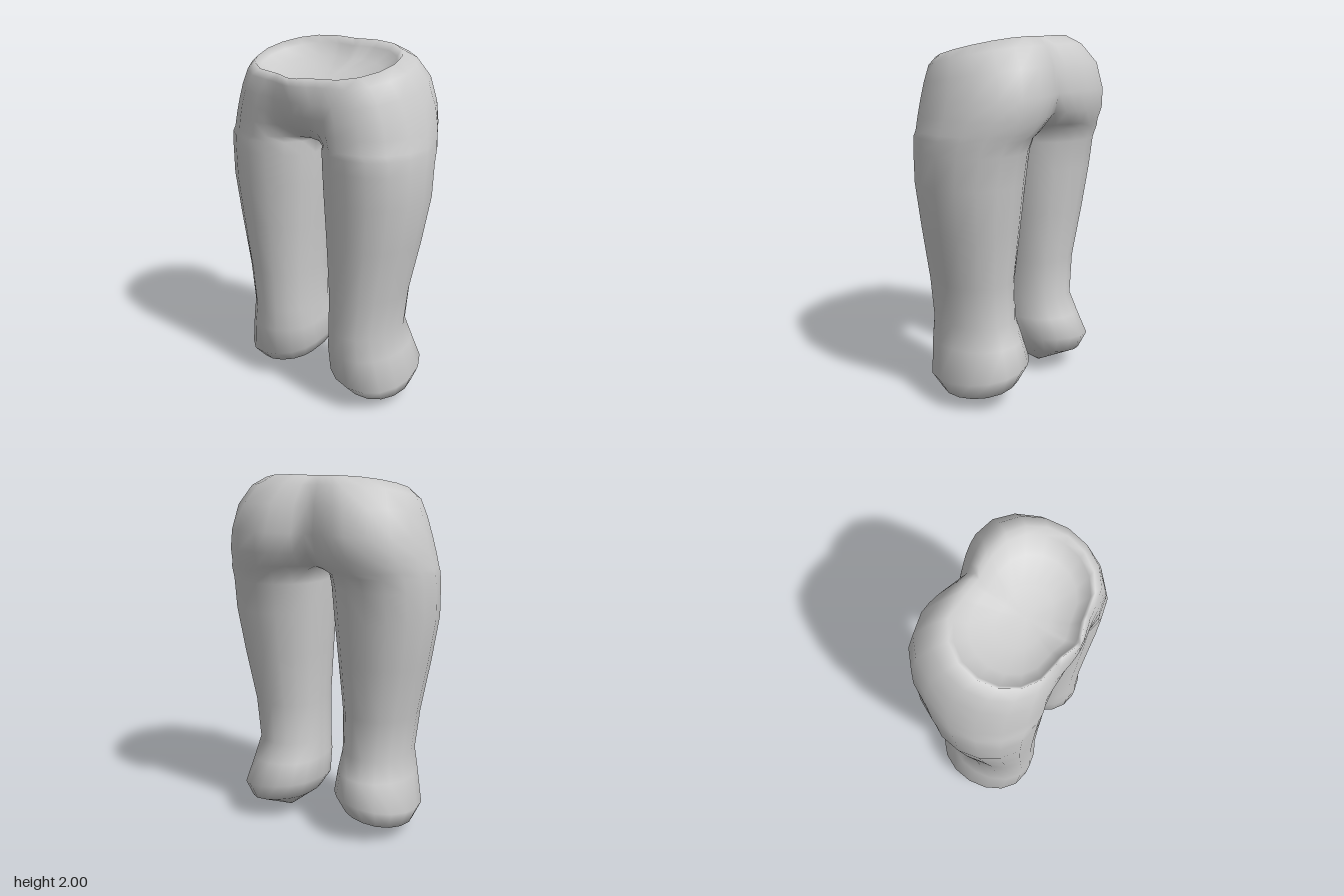
import * as THREE from 'three';
import { mergeVertices } from 'three/addons/utils/BufferGeometryUtils.js';

const OUTER = 8, INNER = 4, STRAIGHT = 3;

// Hips, top down: [y, tilt, outer x, apex x, front z, back z, belly z, cleft z]
const HIPS = [
  [1.95, 0.24, 0.415, 0.14, 0.325, -0.2, 0.36, -0.19],
  [1.9, 0.2, 0.475, 0.19, 0.337, -0.27, 0.372, -0.24],
  [1.8, 0.15, 0.522, 0.24, 0.342, -0.345, 0.37, -0.285],
  [1.69, 0.05, 0.557, 0.26, 0.345, -0.374, 0.35, -0.31],
  [1.6, 0, 0.58, 0.27, 0.347, -0.362, 0.295, -0.28],
  [1.525, 0, 0.594, 0.28, 0.347, -0.328, 0.2, -0.19],
];

// Left leg, top down: [y, tilt, roll, outer x, inner x, front z, back z]
const LEG = [
  [1.495, 0, 0, 0.599, 0.045, 0.346, -0.31],
  [1.42, 0, 0, 0.602, 0.048, 0.343, -0.28],
  [1.25, 0, 0, 0.602, 0.055, 0.335, -0.256],
  [1.0, 0, 0, 0.56, 0.073, 0.32, -0.225],
  [0.7, 0, 0, 0.5, 0.093, 0.304, -0.186],
  [0.47, 0, 0, 0.472, 0.093, 0.302, -0.187],
  [0.35, 0.03, 0.02, 0.5, 0.08, 0.305, -0.235],
  [0.195, 0.12, 0.13, 0.54, 0.078, 0.292, -0.29],
  [0.1, 0.1, 0.15, 0.5, 0.13, 0.215, -0.235],
  [0, 0, 0, 0.29, 0.29, 0.01, 0.01],
];

// Outer side of a ring: half an oval from the front apex round to the back apex
function outerArc(cx, outer, front, back) {
  return Array.from({ length: OUTER }, (_, i) => {
    const a = (i / OUTER) * Math.PI;
    const x = cx + (outer - cx) * Math.sin(a) ** 0.95;
    return [x, (front + back) / 2 + ((front - back) / 2) * Math.cos(a)];
  });
}

// Inner side of a ring: back curve, straight run, front curve.
// backAt and frontAt give [x, z] for u = 0 at the apex to u = 1 at the inner edge.
function innerSide(backAt, frontAt) {
  const points = [];
  for (let i = 0; i < INNER; i++) points.push(backAt(i / INNER));
  const [x, z0] = backAt(1), z1 = frontAt(1)[1];
  for (let i = 0; i < STRAIGHT; i++) points.push([x, z0 + ((z1 - z0) * i) / STRAIGHT]);
  for (let i = INNER; i > 0; i--) points.push(frontAt(i / INNER));
  return points;
}

// Half of the hips: soft across the belly, creased at the back, ending on the middle plane
function hipRing([y, tilt, outer, cx, front, back, belly, cleft]) {
  const backAt = (u) => [cx * (1 - u), back + (cleft - back) * (1 - Math.cos((u * Math.PI) / 2))];
  const frontAt = (u) => [cx * (1 - u), front + ((belly - front) * (1 - Math.cos(u * Math.PI))) / 2];
  return [...outerArc(cx, outer, front, back), ...innerSide(backAt, frontAt)]
    .map(([x, z]) => new THREE.Vector3(x, y - tilt * z, z));
}

// Leg: oval with a slightly flattened inner side, rolled outwards at the foot
function legRing([y, tilt, roll, outer, inner, front, back]) {
  const cx = (outer + inner) / 2, mid = (front + back) / 2;
  const quarter = (apex) => (u) => {
    const a = (u * Math.PI) / 2, edge = mid + (apex - mid) * 0.25;
    return [cx - (cx - inner) * Math.sin(a), edge + (apex - edge) * Math.cos(a)];
  };
  return [...outerArc(cx, outer, front, back), ...innerSide(quarter(back), quarter(front))]
    .map(([x, z]) => new THREE.Vector3(x, y - tilt * z - roll * (x - cx), z));
}

// Shallow bowl inside the waist: the rim scaled towards a sunken centre
function bowlRings(rim, [rimY, tilt]) {
  const cz = 0.08;
  return [[0, 0.12], [0.4, 0.11], [0.75, 0.085], [0.94, 0.035]].map(([s, depth]) =>
    rim.map((p) => {
      const z = cz + (p.z - cz) * s;
      return new THREE.Vector3(p.x * s, rimY - depth - tilt * z, z);
    }));
}

// Joins the rings of one half and mirrors them into a single smooth skin
function buildSkin() {
  const hips = HIPS.map(hipRing);
  const rings = [...bowlRings(hips[0], HIPS[0]), ...hips, ...LEG.map(legRing)];
  const n = rings[0].length;
  const positions = [];

  // Adds a triangle and its mirror image; skips those lying on the middle plane
  const triangle = (a, b, c) => {
    if (Math.max(a.x, b.x, c.x) < 1e-5) return;
    for (const p of [a, b, c]) positions.push(p.x, p.y, p.z);
    for (const p of [a, c, b]) positions.push(-p.x, p.y, p.z);
  };
  for (let i = 0; i < rings.length - 1; i++) {
    for (let k = 0; k < n; k++) {
      const k2 = (k + 1) % n;
      const a = rings[i][k], b = rings[i][k2], c = rings[i + 1][k], d = rings[i + 1][k2];
      triangle(a, c, b);
      triangle(b, c, d);
    }
  }

  // Weld both halves so shading runs smoothly across the middle
  const soup = new THREE.BufferGeometry();
  soup.setAttribute('position', new THREE.Float32BufferAttribute(positions, 3));
  const geometry = mergeVertices(soup, 1e-4);
  geometry.computeVertexNormals();
  return geometry;
}

export function createModel() {
  const group = new THREE.Group();
  group.name = 'lowerBody';
  const skin = new THREE.Mesh(buildSkin(), new THREE.MeshStandardMaterial({ color: 0xcccccc }));
  skin.name = 'hipsAndLegs';
  group.add(skin);
  return group;
}
